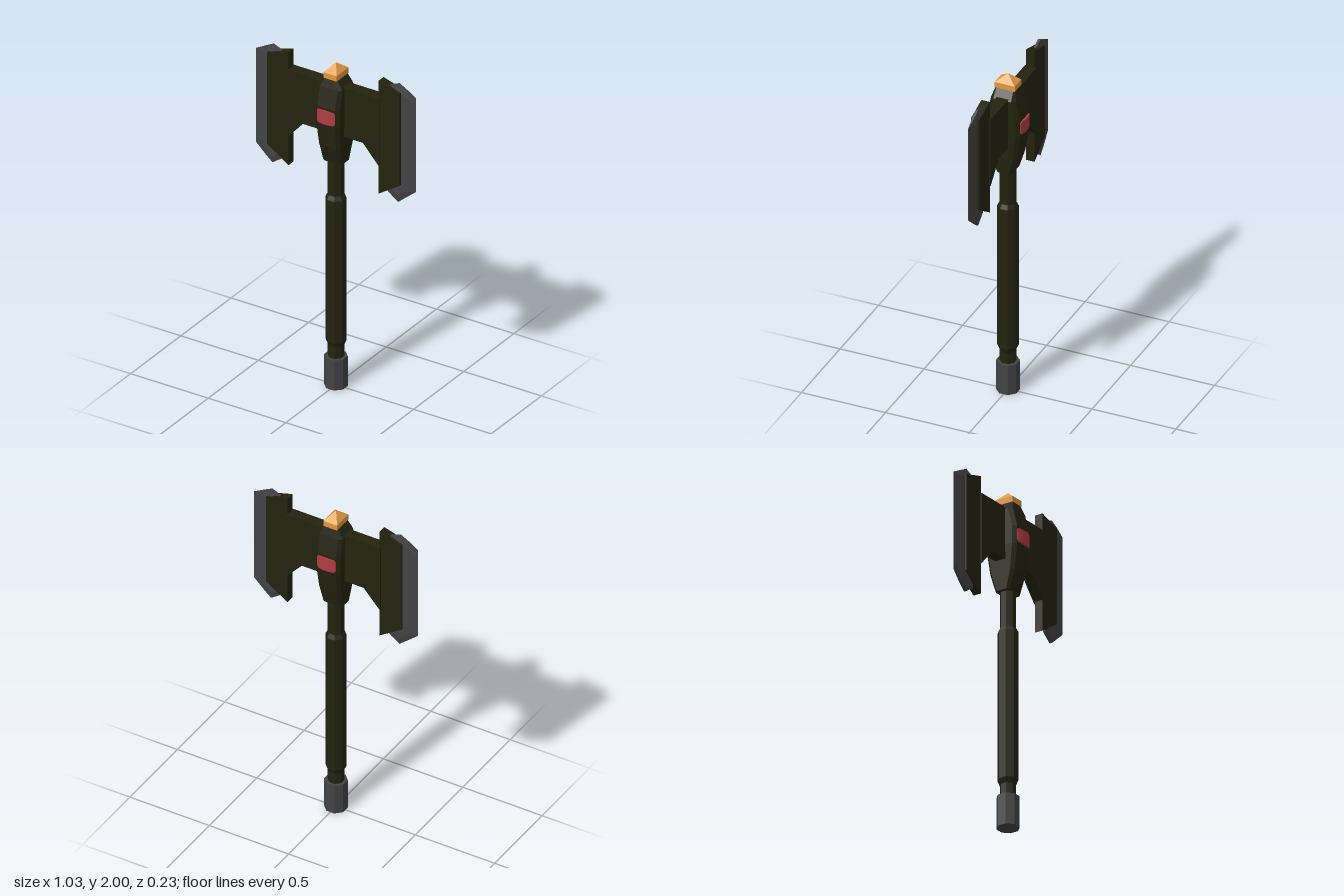
import * as THREE from 'three';

const material = (name, color) => {
  const m = new THREE.MeshStandardMaterial({ color });
  m.name = name;
  return m;
};

// Faceted solid through rings of points, counter-clockwise seen from the far end
function loft(rings) {
  const pos = [];
  const tri = (a, b, c) => pos.push(...a, ...b, ...c);
  const n = rings[0].length;
  for (let i = 0; i < rings.length - 1; i++) {
    for (let j = 0; j < n; j++) {
      const k = (j + 1) % n;
      const [a, b, c, d] = [rings[i][j], rings[i][k], rings[i + 1][k], rings[i + 1][j]];
      tri(a, b, c);
      tri(a, c, d);
    }
  }
  const first = rings[0], last = rings[rings.length - 1];
  for (let j = 1; j < n - 1; j++) {
    tri(first[0], first[j + 1], first[j]);
    tri(last[0], last[j], last[j + 1]);
  }
  const g = new THREE.BufferGeometry();
  g.setAttribute('position', new THREE.Float32BufferAttribute(pos, 3));
  g.computeVertexNormals();
  return g;
}

// Rectangle with cut corners, lying flat at height y
const cutRect = (y, w, d, c) => [
  [w, y, d - c], [w, y, c - d], [w - c, y, -d], [c - w, y, -d],
  [-w, y, c - d], [-w, y, d - c], [c - w, y, d], [w - c, y, d],
];

// Upright rectangle at position x
const sideRect = (x, bottom, top, z) => [
  [x, top, -z], [x, top, z], [x, bottom, z], [x, bottom, -z],
];

// Flat plate from an outline, centred on z = 0
function plate(points, thickness) {
  const shape = new THREE.Shape(points.map(([x, y]) => new THREE.Vector2(x, y)));
  return new THREE.ExtrudeGeometry(shape, { depth: thickness, bevelEnabled: false })
    .translate(0, 0, -thickness / 2);
}

export function createModel() {
  const model = new THREE.Group();
  model.name = 'doubleAxe';
  const olive = material('darkOlive', 0x23230f);
  const steel = material('darkSteel', 0x434345);
  const gold = material('gold', 0xe09a40);
  const red = material('red', 0xb23c40);

  const add = (name, geometry, mat, parent = model) => {
    const mesh = new THREE.Mesh(geometry, mat);
    mesh.name = name;
    parent.add(mesh);
  };

  // Eight-sided shaft with a thicker grip, and the pommel
  const octagon = (y, r) => cutRect(y, r, r, r * (2 - Math.SQRT2));
  add('shaft', loft([
    octagon(0.15, 0.042), octagon(0.255, 0.042), octagon(0.285, 0.054),
    octagon(1.165, 0.054), octagon(1.19, 0.042), octagon(1.45, 0.042),
  ]), olive);
  add('pommel', loft([octagon(0, 0.06), octagon(0.185, 0.06)]), steel);

  // Central head block
  add('headCore', loft([
    cutRect(1.4, 0.063, 0.046, 0.015), cutRect(1.51, 0.069, 0.08, 0.018),
    cutRect(1.655, 0.077, 0.1, 0.02), cutRect(1.76, 0.077, 0.1, 0.02),
    cutRect(1.87, 0.077, 0.073, 0.02), cutRect(1.92, 0.042, 0.058, 0.008),
  ]), olive);

  // Red inlay showing on the front and back
  add('inlay', loft([
    sideRect(-0.058, 1.677, 1.736, 0.102), sideRect(-0.05, 1.666, 1.746, 0.105),
    sideRect(-0.02, 1.666, 1.746, 0.113), sideRect(0.02, 1.666, 1.746, 0.113),
    sideRect(0.05, 1.666, 1.746, 0.105), sideRect(0.058, 1.677, 1.736, 0.102),
  ]), red);

  // Pyramid finial
  add('finial', loft([
    cutRect(1.92, 0.043, 0.06, 0), cutRect(1.953, 0.043, 0.06, 0), cutRect(2, 0.0005, 0.0005, 0),
  ]), gold);

  // One side of the head, turned half round for the other
  const arm = plate([[0, 1.575], [0.195, 1.575], [0.298, 1.46], [0.298, 1.88], [0, 1.88]], 0.068);
  const cheek = plate([[0.29, 1.285], [0.427, 1.375], [0.427, 1.945], [0.29, 1.985]], 0.05);
  const section = (x, bottom, top, z) => {
    const slope = 0.04;
    return [
      [x, top, -z * 0.5], [x, top, z * 0.5], [x, top - slope, z], [x, bottom + slope, z],
      [x, bottom, z * 0.5], [x, bottom, -z * 0.5], [x, bottom + slope, -z], [x, top - slope, -z],
    ];
  };
  const blade = loft([
    section(0.34, 1.305, 1.965, 0.012), section(0.405, 1.26, 1.99, 0.015),
    section(0.45, 1.298, 1.967, 0.014), section(0.516, 1.352, 1.933, 0.001),
  ]);
  for (const [name, angle] of [['left', 0], ['right', Math.PI]]) {
    const side = new THREE.Group();
    side.name = name + 'AxeHead';
    side.rotation.y = angle;
    add(name + 'Arm', arm, olive, side);
    add(name + 'Cheek', cheek, olive, side);
    add(name + 'Blade', blade, steel, side);
    model.add(side);
  }
  return model;
}
